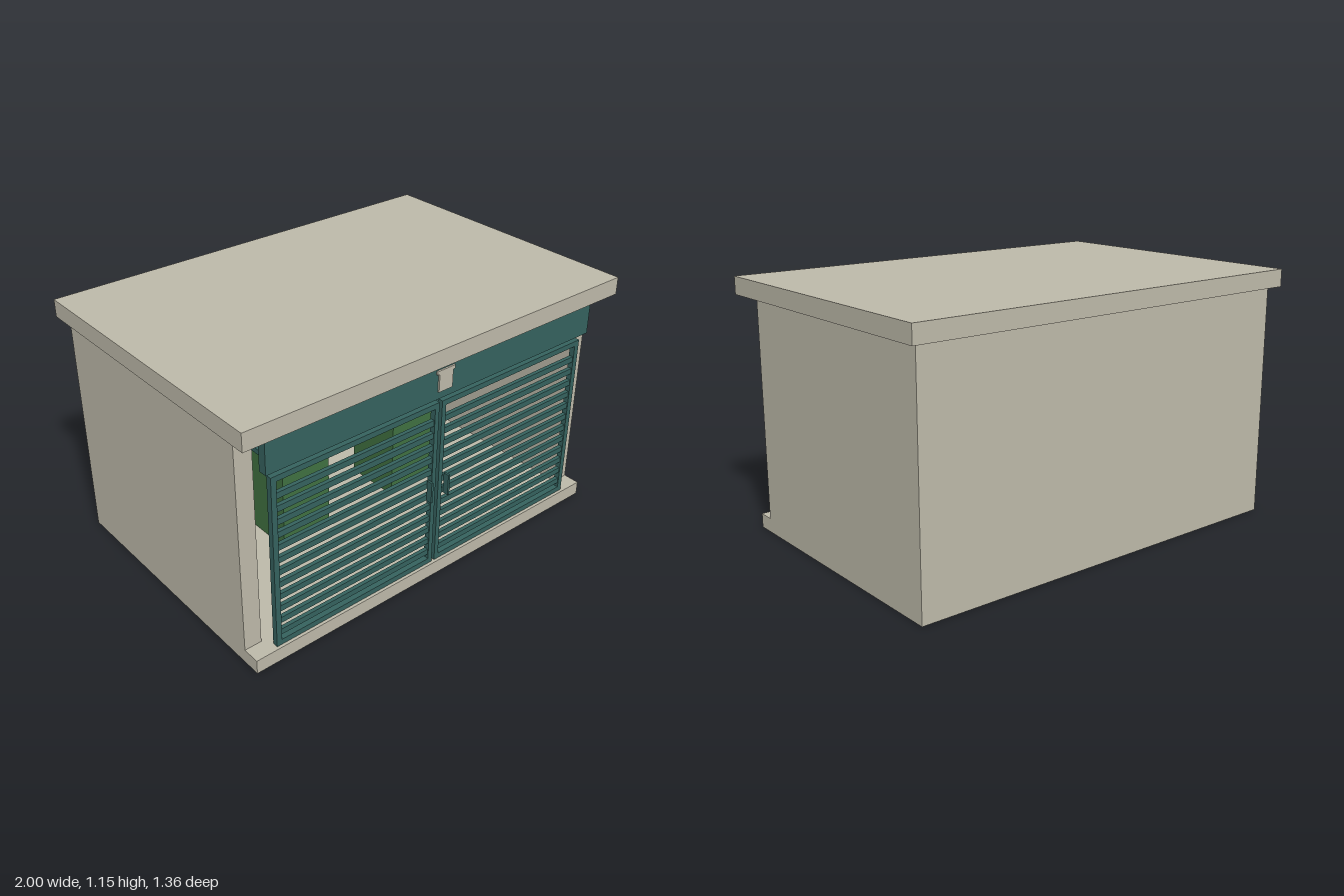
import * as THREE from 'three';

const mat = (name, color) => {
  const m = new THREE.MeshStandardMaterial({ color });
  m.name = name;
  return m;
};

export function createModel() {
  const stone = mat('stone beige', 0xbdb9a9);
  const teal = mat('dark teal', 0x35625e);
  const green = mat('bin green', 0x3f7040);
  const model = new THREE.Group();
  model.name = 'binShelter';

  // Box given by its min and max along each axis
  const box = (parent, name, material, [x0, x1], [y0, y1], [z0, z1]) => {
    const mesh = new THREE.Mesh(new THREE.BoxGeometry(x1 - x0, y1 - y0, z1 - z0), material);
    mesh.position.set((x0 + x1) / 2, (y0 + y1) / 2, (z0 + z1) / 2);
    mesh.name = name;
    parent.add(mesh);
  };
  const group = (name) => {
    const g = new THREE.Group();
    g.name = name;
    model.add(g);
    return g;
  };

  // Shell: base slab, roof slab and walls
  const wallY = [0.065, 1.073];
  box(model, 'base', stone, [-0.96, 0.96], [0, 0.065], [-0.64, 0.64]);
  box(model, 'roof', stone, [-1, 1], [1.073, 1.153], [-0.68, 0.68]);
  box(model, 'backWall', stone, [-0.96, 0.96], wallY, [-0.64, -0.56]);
  box(model, 'leftWall', stone, [0.88, 0.96], wallY, [-0.56, 0.56]);
  box(model, 'rightWall', stone, [-0.96, -0.88], wallY, [-0.56, 0.56]);

  // Front header panel with a small bin pictogram
  box(model, 'header', teal, [-0.88, 0.88], [0.905, 1.073], [0.6, 0.64]);
  box(model, 'signBody', stone, [-0.037, 0.037], [0.941, 1.022], [0.64, 0.648]);
  box(model, 'signLid', stone, [-0.048, 0.048], [1.022, 1.038], [0.64, 0.648]);

  for (const side of [1, -1]) {
    const label = side > 0 ? 'left' : 'right';
    const span = (a, b) => (side > 0 ? [a, b] : [-b, -a]);

    // Slatted gate
    const gate = group(label + 'Gate');
    const gateY = [0.065, 0.875];
    const gateZ = [0.6, 0.626];
    box(gate, 'innerStile', teal, span(0.008, 0.03), gateY, gateZ);
    box(gate, 'outerStile', teal, span(0.825, 0.85), gateY, gateZ);
    box(gate, 'topRail', teal, span(0.03, 0.825), [0.85, 0.875], gateZ);
    box(gate, 'bottomRail', teal, span(0.03, 0.825), [0.065, 0.09], gateZ);
    for (let i = 0; i < 12; i++) {
      const y = 0.126 + i * 0.0597;
      box(gate, 'slat', teal, span(0.03, 0.825), [y - 0.0135, y + 0.0135], [0.604, 0.622]);
    }
    box(gate, 'handle', teal, span(0.043, 0.053), [0.41, 0.51], [0.622, 0.65]);

    // Bin standing inside
    const bin = group(label + 'Bin');
    box(bin, 'binBody', green, span(0.192, 0.448), [0.065, 0.488], [-0.14, 0.14]);
    box(bin, 'binLid', teal, span(0.178, 0.462), [0.488, 0.514], [-0.16, 0.16]);
  }
  return model;
}
